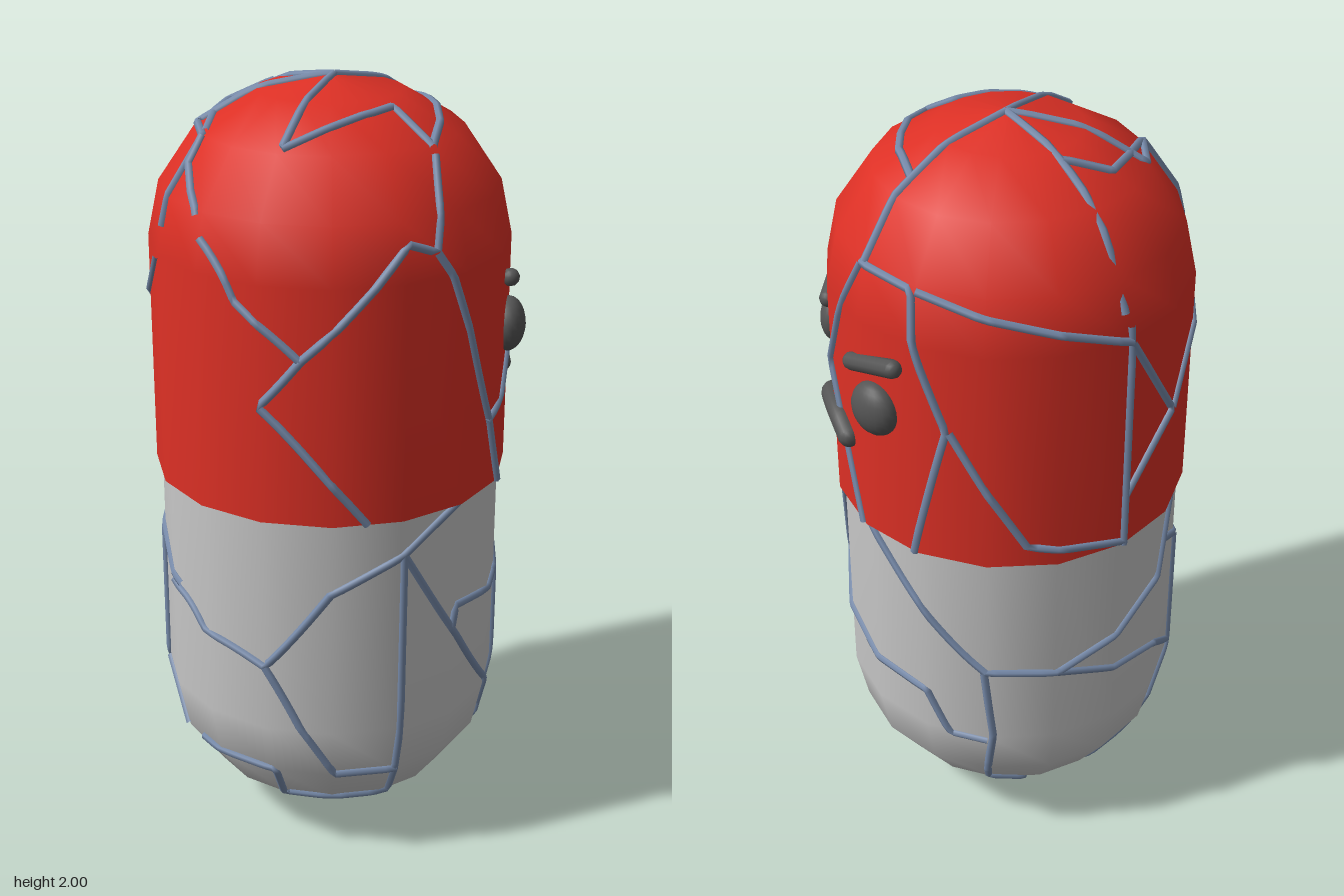
import * as THREE from 'three';

const CX = -0.01, SIDES = 16;
// radius / height profiles, bottom to top
const CAP = [[0.455, 1], [0.455, 1.6], [0.425, 1.74], [0.33, 1.88], [0.18, 1.967], [0, 2]];
const BASE = [[0, 0.01], [0.18, 0.05], [0.32, 0.145], [0.41, 0.27], [0.44, 0.41], [0.44, 1]];

const mat = (name, color, side = THREE.FrontSide) => {
  const m = new THREE.MeshStandardMaterial({ color, side });
  m.name = name;
  return m;
};

function radiusAt(profile, y) {
  for (let i = 1; i < profile.length; i++) {
    const [r0, y0] = profile[i - 1], [r1, y1] = profile[i];
    if (y <= y1) return r0 + (r1 - r0) * Math.max(0, (y - y0) / (y1 - y0));
  }
  return profile[profile.length - 1][0];
}

// share of the full radius reached by the many-sided wall at angle a
function facet(a) {
  const step = (2 * Math.PI) / SIDES;
  const local = ((a % step) + step) % step - step / 2;
  return Math.cos(step / 2) / Math.cos(local);
}

// angles run from +x towards -z
function place(profile, a, y) {
  const r = radiusAt(profile, y) * facet(a);
  return new THREE.Vector3(CX + r * Math.cos(a), y, -r * Math.sin(a));
}

const clamp = (v) => Math.max(-1, Math.min(1, v));
// ways of laying a flat point onto the body
const project = {
  front: (p, x, y) => place(p, -Math.acos(clamp((x - CX) / (radiusAt(p, y) * 0.99 + 1e-6))), y),
  side: (p, z, y) => place(p, -Math.asin(clamp(z / (radiusAt(p, y) * 0.99 + 1e-6))), y),
  around: (p, deg, y) => place(p, THREE.MathUtils.degToRad(deg), y),
  top: (p, x, z) => {
    const a = Math.atan2(-z, x - CX);
    const r = Math.min(0.455, Math.hypot(x - CX, z) / facet(a));
    for (let i = p.length - 1; i > 1; i--) {
      const [r1, y1] = p[i], [r0, y0] = p[i - 1];
      if (r <= r0) return new THREE.Vector3(x, y1 + (y0 - y1) * (r - r1) / (r0 - r1), z);
    }
    return place(p, a, 1.6);
  },
};

// thin ridge that follows the surface
function crackGeometry(profile, view, points) {
  const path = new THREE.CurvePath();
  let last = null, count = 0;
  for (let i = 1; i < points.length; i++) {
    const [a, b] = points[i - 1], [c, d] = points[i];
    for (let k = i === 1 ? 0 : 1; k <= 6; k++) {
      const t = k / 6;
      const v = project[view](profile, a + (c - a) * t, b + (d - b) * t);
      if (last && v.distanceTo(last) < 1e-4) continue;
      if (last) { path.add(new THREE.LineCurve3(last, v)); count++; }
      last = v;
    }
  }
  return new THREE.TubeGeometry(path, count * 2, 0.011, 6, false);
}

const CAP_CRACKS = [
  ['front', [[0.12, 1.86], [0.08, 1.66], [0, 1.69], [-0.25, 1.42], [-0.33, 1.3], [-0.1, 1]]],
  ['front', [[0.08, 1.66], [0.12, 1.6], [0.27, 1.18], [0.31, 1]]],
  ['front', [[-0.25, 1.42], [-0.37, 1.55], [-0.41, 1.68]]],
  ['top', [[-0.41, 0.14], [-0.4, 0.08], [-0.38, 0.01], [-0.34, 0]]],
  ['top', [[0, 0], [-0.23, 0.23], [-0.1, 0.23], [0, 0.215], [0.07, 0.19], [0.12, 0.305]]],
  ['top', [[0.12, 0.305], [0.19, 0.2], [0.23, 0.1], [0.25, 0.03], [0.25, -0.1]]],
  ['top', [[0, 0], [0.25, -0.1], [0.38, -0.16]]],
  ['top', [[0, 0], [-0.17, -0.41]]],
  ['top', [[0, 0], [-0.31, -0.12], [-0.34, 0], [-0.45, 0]]],
  ['top', [[-0.08, -0.19], [-0.2, -0.195], [-0.27, -0.11], [-0.33, -0.01]]],
  ['side', [[0.36, 1.18], [0.2, 1.31], [0, 1.4]]],
  ['side', [[-0.15, 1.74], [0, 1.4], [-0.16, 1]]],
  ['side', [[-0.15, 1.74], [-0.29, 1.73], [-0.37, 1.38], [-0.31, 1]]],
  ['around', [[45, 1.73], [69, 1.69], [90, 1.65], [113, 1.59]]],
  ['around', [[113, 1.63], [113, 1]]],
  ['around', [[113, 1.59], [135, 1.32], [113, 1.15]]],
  ['around', [[135, 1.32], [180, 1.6]]],
  ['around', [[56, 1.38], [80, 1.06], [113, 1.01]]],
];

const BASE_CRACKS = [
  ['front', [[0.16, 1], [0, 0.9], [-0.18, 0.81], [-0.32, 0.59], [-0.42, 0.64], [-0.45, 0.72]]],
  ['front', [[-0.32, 0.59], [-0.25, 0.42], [-0.16, 0.275], [0, 0.27]]],
  ['front', [[0, 0.9], [-0.005, 0.27], [0.02, 0.15], [0.05, 0.055]]],
  ['front', [[0, 0.9], [0.15, 0.65], [0.3, 0.42], [0.32, 0.3], [0.29, 0.155]]],
  ['front', [[0.15, 0.65], [0.16, 0.71], [0.38, 0.67]]],
  ['front', [[-0.41, 0.275], [-0.29, 0.275], [-0.24, 0.155], [0.02, 0.145]]],
  ['side', [[0.22, 0.68], [0.17, 0.67], [0, 0.6], [-0.17, 0.55], [-0.31, 0.535], [-0.35, 0.4], [-0.4, 0.4]]],
  ['side', [[0, 1], [0.17, 0.67], [0.175, 0.35], [0.13, 0.14]]],
  ['side', [[-0.16, 1], [-0.3, 0.82], [-0.4, 0.64]]],
  ['around', [[66, 0.64], [91, 0.63], [113, 0.69], [135, 0.78], [141, 0.87], [149, 1]]],
  ['around', [[141, 0.87], [158, 0.8], [185, 0.72]]],
  ['around', [[91, 0.63], [113, 0.58], [135, 0.55], [158, 0.42]]],
  ['around', [[158, 0.8], [158, 0.42], [148, 0.27]]],
  ['around', [[158, 0.4], [180, 0.275]]],
  ['around', [[148, 0.27], [115, 0.12], [85, 0.06]]],
  ['around', [[66, 0.64], [69, 0.42], [65, 0.18], [82, 0.14], [85, 0.06]]],
  ['around', [[85, 0.06], [20, 0.05], [-22, 0.14]]],
  ['around', [[-22, 0.14], [-50, 0.09], [-75, 0.055]]],
];

export function createModel() {
  const red = mat('red shell', 0xdd3025, THREE.DoubleSide);
  const grey = mat('light grey shell', 0xc8c8c8, THREE.DoubleSide);
  const steel = mat('blue grey crack', 0x788cac);
  const dark = mat('dark grey face', 0x555555);

  const model = new THREE.Group();
  model.name = 'capsule';
  const add = (name, geometry, material, parent = model) => {
    const mesh = new THREE.Mesh(geometry, material);
    mesh.name = name;
    parent.add(mesh);
    return mesh;
  };
  const lathe = (profile) =>
    new THREE.LatheGeometry(profile.map(([r, y]) => new THREE.Vector2(r, y)), SIDES);

  // two halves of the body, and the small lip where they meet
  add('upperShell', lathe(CAP), red).position.x = CX;
  add('lowerShell', lathe(BASE), grey).position.x = CX;
  const lip = add('shellLip', new THREE.RingGeometry(0.43, 0.455, SIDES), red);
  lip.rotation.x = Math.PI / 2;
  lip.position.set(CX, 1, 0);

  // cracks
  const cracks = new THREE.Group();
  cracks.name = 'cracks';
  model.add(cracks);
  for (const [view, pts] of CAP_CRACKS) add('upperCrack', crackGeometry(CAP, view, pts), steel, cracks);
  for (const [view, pts] of BASE_CRACKS) add('lowerCrack', crackGeometry(BASE, view, pts), steel, cracks);

  // face on the +x side
  const face = new THREE.Group();
  face.name = 'face';
  model.add(face);
  for (const s of [1, -1]) {
    const eye = add('eye', new THREE.SphereGeometry(0.07, 20, 14), dark, face);
    eye.scale.set(0.65, 1, 1);
    eye.position.set(0.383, 1.38, s * 0.222);
    eye.rotation.y = -s * 0.52;

    const outer = new THREE.Vector3(0.35, 1.525, s * 0.288);
    const inner = new THREE.Vector3(0.42, 1.475, s * 0.15);
    const along = inner.clone().sub(outer);
    const brow = add('eyebrow', new THREE.CapsuleGeometry(0.023, along.length(), 5, 10), dark, face);
    brow.position.copy(outer).add(inner).multiplyScalar(0.5);
    brow.quaternion.setFromUnitVectors(new THREE.Vector3(0, 1, 0), along.normalize());

    add('mouthCorner', new THREE.SphereGeometry(0.029, 12, 8), dark, face).position.set(0.43, 1.228, s * 0.103);
  }
  const smile = new THREE.CatmullRomCurve3([
    [0.43, 1.228, -0.103], [0.438, 1.252, -0.06], [0.441, 1.26, 0], [0.438, 1.252, 0.06], [0.43, 1.228, 0.103],
  ].map((p) => new THREE.Vector3(...p)));
  add('mouth', new THREE.TubeGeometry(smile, 20, 0.029, 12), dark, face);

  return model;
}
